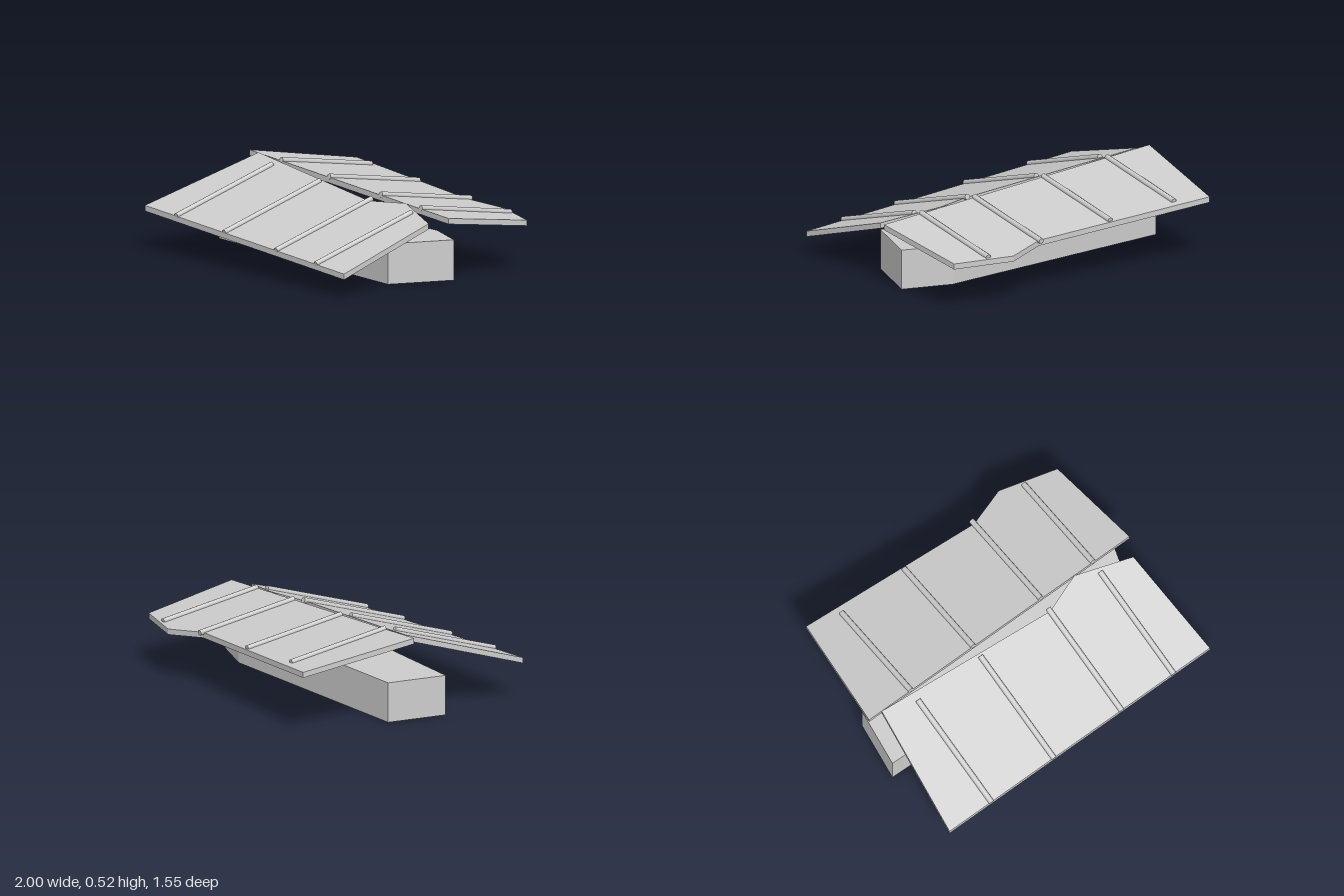
import * as THREE from 'three';

const grey = new THREE.MeshStandardMaterial({ color: 0xcccccc });
grey.name = 'plain grey';

// Top surfaces of the two roof slopes, falling gently towards +x
const frontHeight = (x, z) => 0.21 - 0.06 * x + 0.322 * (0.765 - z);
const backHeight = (x, z) => 0.462 - 0.06 * x + 0.15 * (z + 0.03);

// Upright prism over an [x, z] outline, from y = 0 to the given thickness
function prism(outline, thickness) {
  const shape = new THREE.Shape(outline.map(([x, z]) => new THREE.Vector2(x, -z)));
  const geo = new THREE.ExtrudeGeometry(shape, { depth: thickness, bevelEnabled: false });
  return geo.rotateX(-Math.PI / 2);
}

function addMesh(group, name, geometry) {
  const mesh = new THREE.Mesh(geometry, grey);
  mesh.name = name;
  group.add(mesh);
  return mesh;
}

// Sheared slab lying under a slope, with upright edges
function slab(outline, height) {
  const t = 0.035;
  const geo = prism(outline, t);
  const p = geo.attributes.position;
  for (let i = 0; i < p.count; i++) {
    p.setY(i, p.getY(i) - t + height(p.getX(i), p.getZ(i)));
  }
  geo.computeVertexNormals();
  return geo;
}

// Round batten half sunk in a slope, running along z
function batten(group, name, x, z0, z1, height) {
  const a = new THREE.Vector3(x, height(x, z0) + 0.004, z0);
  const b = new THREE.Vector3(x, height(x, z1) + 0.004, z1);
  const dir = b.clone().sub(a);
  const mesh = addMesh(group, name, new THREE.CylinderGeometry(0.018, 0.018, dir.length(), 8));
  mesh.position.copy(a).add(b).multiplyScalar(0.5);
  mesh.quaternion.setFromUnitVectors(new THREE.Vector3(0, 1, 0), dir.normalize());
}

export function createModel() {
  const model = new THREE.Group();
  model.name = 'brokenRoof';

  // Base block with an uneven five-sided plan
  addMesh(model, 'baseBlock', prism(
    [[-1, 0.2], [0.8, 0.28], [0.935, -0.12], [0.63, -0.225], [-0.94, -0.18]], 0.25));

  // Roof panels, each with one straight and one broken edge
  addMesh(model, 'frontPanel', slab(
    [[-1, 0.765], [1, 0.765], [0.945, 0.08], [0.575, -0.028], [0.32, 0.06], [-0.905, -0.028]],
    frontHeight));
  addMesh(model, 'backPanel', slab(
    [[-1, -0.03], [1, -0.03], [0.945, -0.67], [0.575, -0.775], [0.32, -0.69], [-0.905, -0.775]],
    backHeight));

  // Battens on both slopes
  for (const x of [-0.68, -0.2, 0.32, 0.72]) {
    batten(model, 'frontBatten', x, 0.768, 0.04, frontHeight);
    batten(model, 'backBatten', x, -0.03, -0.715, backHeight);
  }
  return model;
}
